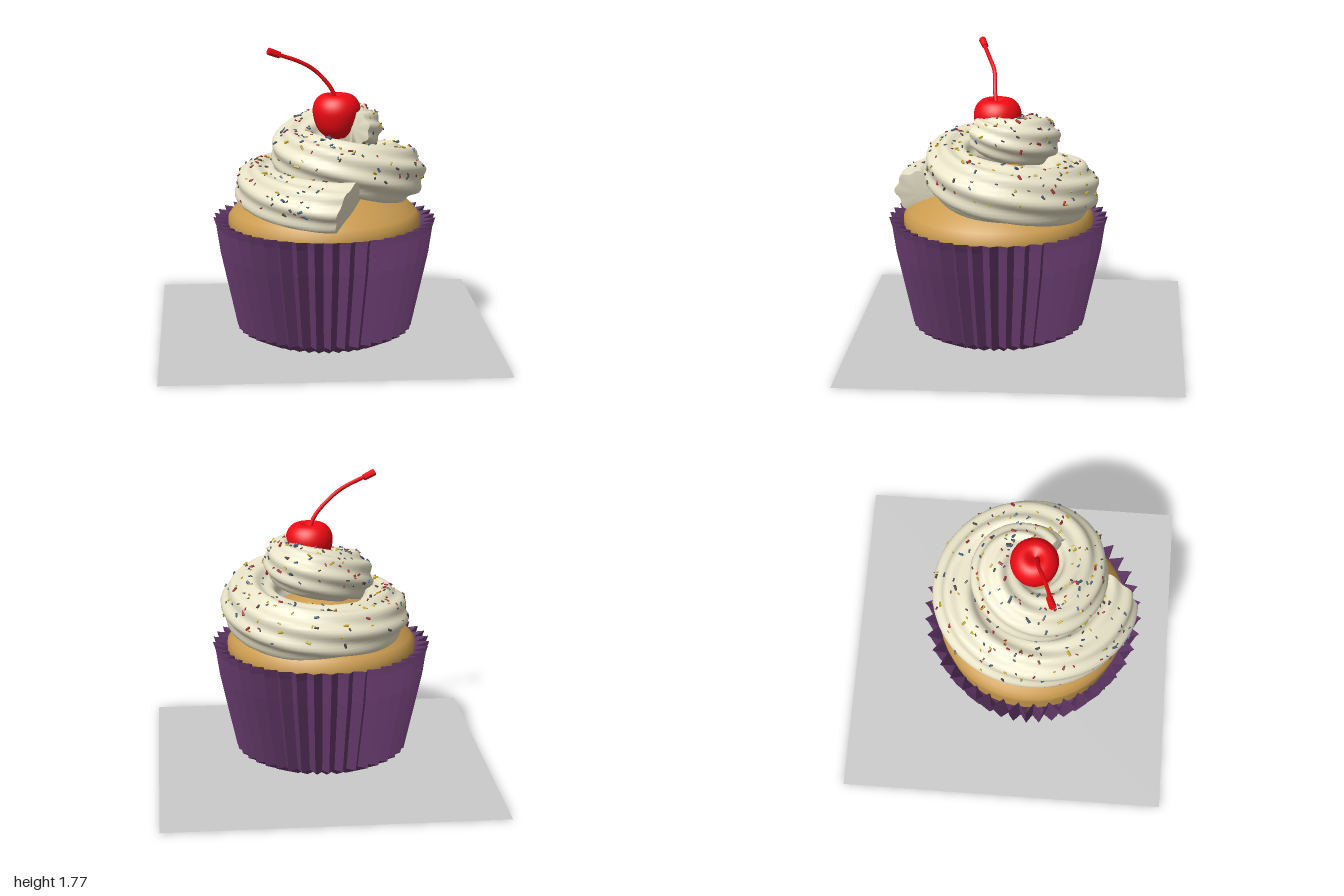
import * as THREE from 'three';
import { mergeGeometries, toCreasedNormals } from 'three/addons/utils/BufferGeometryUtils.js';

const CX = -0.01, CZ = 0.125; // cup axis
const V = (x, y, z) => new THREE.Vector3(x, y, z);

function add(group, name, geometry, color, opts = {}) {
  const mesh = new THREE.Mesh(geometry, new THREE.MeshStandardMaterial({ color, ...opts }));
  mesh.name = name;
  group.add(mesh);
  return mesh;
}

function buildGeometry(pos, idx) {
  const g = new THREE.BufferGeometry();
  g.setAttribute('position', new THREE.Float32BufferAttribute(pos, 3));
  g.setIndex(idx);
  g.computeVertexNormals();
  return g;
}

// Pleated paper cup: zigzag rings of [fold radius, valley radius, fold y, valley y]
function cupGeometry() {
  const rings = [[0, 0, 0, 0], [0.375, 0.335, 0, 0], [0.522, 0.47, 0.07, 0.07],
    [0.622, 0.56, 0.53, 0.53], [0.645, 0.575, 0.69, 0.68], [0.662, 0.585, 0.742, 0.725]];
  const n = 80, pos = [], idx = [];
  rings.forEach(([fold, valley, yf, yv], i) => {
    for (let j = 0; j < n; j++) {
      const a = (j / n) * Math.PI * 2, r = j % 2 ? valley : fold;
      pos.push(r * Math.sin(a), j % 2 ? yv : yf, r * Math.cos(a));
      if (!i) continue;
      const k = (j + 1) % n, p = (i - 1) * n, q = i * n;
      idx.push(p + j, p + k, q + j, p + k, q + k, q + j);
    }
  });
  return buildGeometry(pos, idx);
}

// Piped rope: spiral radius, height, thickness and axis x at every quarter turn
const KEYS = [
  [0.47, 0.895, 0.148, 0.01], [0.395, 0.915, 0.158, 0.01], [0.445, 0.92, 0.168, 0.03],
  [0.385, 0.995, 0.182, 0.03], [0.265, 1.09, 0.165, 0.05], [0.235, 1.14, 0.155, 0.06],
  [0.225, 1.23, 0.15, 0.07], [0.135, 1.265, 0.128, 0.07], [0.115, 1.31, 0.085, 0.07],
];
const spiral = new THREE.CatmullRomCurve3(KEYS.map(([r, y]) => V(r, y, 0)), false, 'catmullrom', 0.5);
const width = new THREE.CatmullRomCurve3(KEYS.map(([, , w, x]) => V(w, x, 0)), false, 'catmullrom', 0.5);
const START = -0.015, END = 0.932;

// Point on the ribbed rope; s runs along it, a around it
function ropePoint(s, a, scale = 1) {
  const t = THREE.MathUtils.clamp(s, 0, 1), th = s * 4 * Math.PI;
  const c = spiral.getPoint(t), w = width.getPoint(t);
  const r = w.x * scale * (0.95 + 0.075 * Math.cos(8 * (a - th * 0.36)));
  const o = Math.cos(a) * r, h = Math.sin(a) * r;
  const out = V(-Math.sin(th), 0, Math.cos(th)), along = V(-Math.cos(th), 0, -Math.sin(th));
  // oblique cut at the starting end, its upper inner edge reaching furthest
  const shear = (0.75 * o - 0.3 * h) * Math.max(0, 1 - (s - START) * 10);
  const p = V(w.y, c.y + h, CZ).addScaledVector(out, c.x + o).addScaledVector(along, shear);
  return { p, dir: out.multiplyScalar(Math.cos(a)).add(V(0, Math.sin(a), 0)) };
}

function ropeGeometry() {
  const n = 180, m = 56, pos = [], idx = [];
  for (let i = 0; i <= n; i++) {
    for (let j = 0; j < m; j++) {
      pos.push(...ropePoint(START + (END - START) * i / n, j / m * Math.PI * 2).p);
      if (i === n) continue;
      const k = (j + 1) % m, p = i * m, q = p + m;
      idx.push(p + j, p + k, q + j, p + k, q + k, q + j);
    }
  }
  // end caps, slightly bulged
  const c0 = pos.length / 3, c1 = c0 + 1, q = n * m;
  pos.push(...ropePoint(START - 0.004, 0, 0).p, ...ropePoint(END + 0.012, 0, 0).p);
  for (let j = 0; j < m; j++) {
    const k = (j + 1) % m;
    idx.push(c0, k, j, c1, q + j, q + k);
  }
  return toCreasedNormals(buildGeometry(pos, idx), 0.9);
}

// Sprinkles scattered over the outer and upper side of the rope
function addSprinkles(group) {
  let seed = 7;
  const rnd = () => (seed = (seed * 16807) % 2147483647) / 2147483647;
  const colors = { yellow: 0xc9b02a, red: 0xa83238, blue: 0x46627f, dark: 0x4f4a48 };
  const sets = Object.keys(colors).map(() => []);
  for (let i = 0; i < 300; i++) {
    const s = 0.01 + 0.91 * Math.pow(rnd(), 1.25);
    const { p, dir } = ropePoint(s, -0.25 + 2.3 * rnd());
    const axis = V(rnd() - 0.5, rnd() - 0.5, rnd() - 0.5).cross(dir).addScaledVector(dir, 0.15 * rnd()).normalize();
    const size = 0.7 + 0.7 * Math.pow(rnd(), 3);
    const g = new THREE.CylinderGeometry(0.0062 * size, 0.0062 * size, 0.024 * size, 6);
    g.applyQuaternion(new THREE.Quaternion().setFromUnitVectors(V(0, 1, 0), axis));
    g.translate(...p.addScaledVector(dir, 0.002));
    sets[i % 4].push(g);
  }
  Object.keys(colors).forEach((c, i) => add(group, c + 'Sprinkles', mergeGeometries(sets[i]), colors[c]));
}

export function createModel() {
  const model = new THREE.Group();
  model.name = 'cupcake';

  // Ground sheet
  const sheet = new THREE.PlaneGeometry(2, 2).rotateX(-Math.PI / 2);
  add(model, 'groundSheet', sheet, 0xcccccc, { side: THREE.DoubleSide }).position.y = 0.002;

  // Paper cup
  add(model, 'paperCup', cupGeometry(), 0x663a6c, { side: THREE.DoubleSide, flatShading: true })
    .position.set(CX, 0, CZ);

  // Cake dome
  const dome = [[0.545, 0.5], [0.572, 0.7], [0.572, 0.75], [0.545, 0.785], [0.49, 0.835], [0.4, 0.895],
    [0.26, 0.98], [0.13, 1.04], [0, 1.06]].map(([r, y]) => new THREE.Vector2(r, y));
  add(model, 'cake', new THREE.LatheGeometry(dome, 48), 0xcb9c50).position.set(CX, 0, CZ);

  // Frosting swirl and sprinkles
  const topping = new THREE.Group();
  topping.name = 'topping';
  add(topping, 'frosting', ropeGeometry(), 0xe9e3c8, { side: THREE.DoubleSide });
  addSprinkles(topping);
  model.add(topping);

  // Cherry with a dimpled top
  const cherry = new THREE.Group();
  cherry.name = 'cherry';
  const profile = new THREE.SplineCurve([[0, -0.135], [0.06, -0.125], [0.115, -0.07], [0.141, 0.02],
    [0.132, 0.08], [0.1, 0.12], [0.06, 0.13], [0.025, 0.115], [0, 0.1]].map(([x, y]) => new THREE.Vector2(x, y)));
  const pts = profile.getPoints(28);
  pts.forEach((p) => { p.x = Math.max(0, p.x); });
  add(cherry, 'cherryFruit', new THREE.LatheGeometry(pts, 36), 0xf00a14).position.set(0.062, 1.345, 0.122);

  // Curved stem with a thicker tip
  const stem = new THREE.CatmullRomCurve3([V(0.06, 1.43, 0.13), V(0.03, 1.51, 0.14), V(-0.06, 1.615, 0.15),
    V(-0.15, 1.675, 0.185), V(-0.3, 1.735, 0.235)]);
  add(cherry, 'cherryStem', new THREE.TubeGeometry(stem, 24, 0.012, 8), 0xf00a14);
  const tip = new THREE.CylinderGeometry(0.022, 0.02, 0.075, 7);
  tip.applyQuaternion(new THREE.Quaternion().setFromUnitVectors(V(0, 1, 0), V(-0.87, 0.36, 0.32).normalize()));
  add(cherry, 'stemTip', tip, 0xf00a14, { flatShading: true }).position.set(-0.31, 1.738, 0.235);
  model.add(cherry);

  return model;
}
